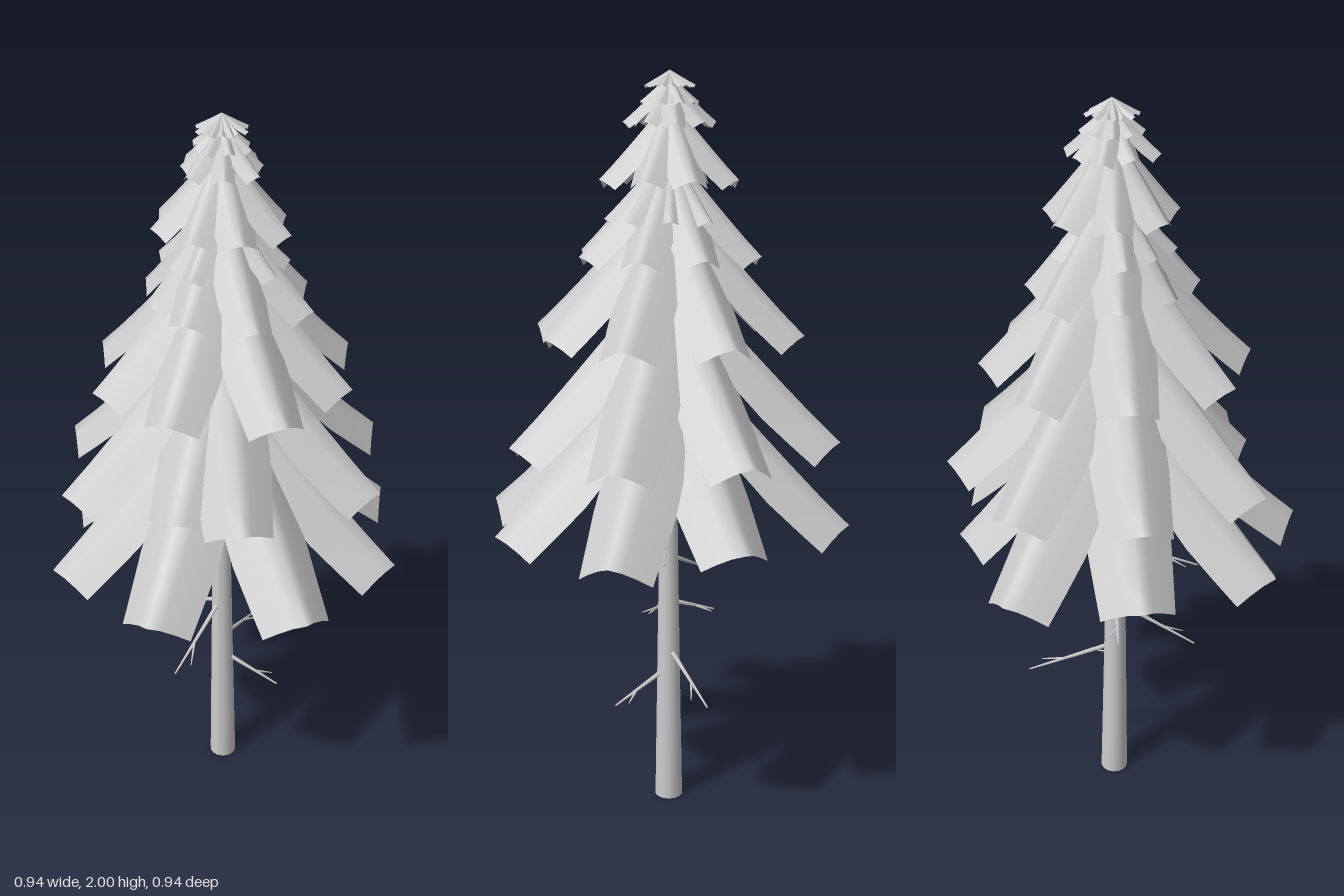
import * as THREE from 'three';

const bark = new THREE.MeshStandardMaterial({ color: 0xcccccc, side: THREE.DoubleSide });
const needles = new THREE.MeshStandardMaterial({ color: 0xcccccc, side: THREE.DoubleSide });

// Evenly spaced bearings in degrees
const ring = (count, turn) => Array.from({ length: count }, (_, i) => i * 360 / count + turn);

// Tiers from the ground up. Bearings run round the tree from +x towards +z; lengths repeat in turn.
const TIERS = [
  { tipY: 0.845, rise: 0.5, half: 0.11, bearings: [0, 42, 89, 131, 178, 221, 270, 314], lengths: [0.5, 0.505, 0.505, 0.5, 0.445, 0.49, 0.42, 0.5] },
  { tipY: 1.07, rise: 0.46, half: 0.1, bearings: [2, 60, 87, 131, 178, 222, 270, 314], lengths: [0.45, 0.4, 0.365, 0.46, 0.445, 0.46, 0.44, 0.46] },
  { tipY: 1.345, rise: 0.38, half: 0.085, bearings: [0, 43, 90, 131, 180, 223, 270, 316], lengths: [0.355, 0.37, 0.36, 0.36, 0.35, 0.36, 0.345, 0.36] },
  { tipY: 1.545, rise: 0.27, half: 0.062, bearings: ring(8, 3), lengths: [0.25, 0.25, 0.22, 0.2, 0.22, 0.25, 0.22, 0.23] },
  { tipY: 1.635, rise: 0.18, half: 0.034, bearings: ring(9, 17), lengths: [0.17, 0.13, 0.16, 0.14] },
  { tipY: 1.735, rise: 0.2, half: 0.052, bearings: ring(8, 6), lengths: [0.19, 0.17, 0.165, 0.18, 0.18] },
  { tipY: 1.875, rise: 0.11, half: 0.03, bearings: ring(8, 20), lengths: [0.12, 0.11, 0.12, 0.1] },
  { tipY: 1.925, rise: 0.065, half: 0.018, bearings: ring(8, 6), lengths: [0.08, 0.07] },
  { tipY: 1.965, rise: 0.037, half: 0.01, bearings: ring(16, 0), lengths: [0.068, 0.055] },
];

// Drooping frond along +x: folded across, widest past the middle, pointed at the tip
function frondGeometry(length, half, rise) {
  const cols = 6, rows = 6;
  const geo = new THREE.PlaneGeometry(1, 1, rows, cols);
  const p = geo.attributes.position;
  for (let i = 0; i < p.count; i++) {
    const t = p.getX(i) + 0.5;
    const u = p.getY(i) * 2;
    const a = Math.abs(u);
    const s = t * (length - half * 0.52 * a) / length;
    const spread = 0.3 + 0.7 * Math.sin(Math.min(1, s / 0.55) * Math.PI / 2);
    const width = half * (spread - 0.18 * Math.max(0, s - 0.55) / 0.45);
    const y = rise * Math.pow(1 - s, 1.05) - width * 1.1 * Math.pow(a, 1.15);
    p.setXYZ(i, s * length, y, -u * width);
  }
  geo.computeVertexNormals();
  return geo;
}

// Ring of fronds, one per bearing
function makeTier({ tipY, rise, half, bearings, lengths }, index) {
  const tier = new THREE.Group();
  tier.name = `branchTier${index + 1}`;
  bearings.forEach((bearing, i) => {
    const frond = new THREE.Mesh(frondGeometry(lengths[i % lengths.length], half, rise), needles);
    frond.name = 'frond';
    frond.rotation.y = -THREE.MathUtils.degToRad(bearing);
    frond.position.y = tipY;
    tier.add(frond);
  });
  return tier;
}

// Thin tapering stick between two points
function stick(from, to, radius) {
  const dir = to.clone().sub(from);
  const mesh = new THREE.Mesh(new THREE.CylinderGeometry(radius * 0.35, radius, dir.length(), 5), bark);
  mesh.position.copy(from).addScaledVector(dir, 0.5);
  mesh.quaternion.setFromUnitVectors(new THREE.Vector3(0, 1, 0), dir.normalize());
  mesh.name = 'twigStem';
  return mesh;
}

// Dead twig with one small side shoot
function makeTwig(a, b, index) {
  const twig = new THREE.Group();
  twig.name = 'deadTwig';
  const from = new THREE.Vector3(...a), to = new THREE.Vector3(...b);
  twig.add(stick(from, to, 0.007));
  const dir = to.clone().sub(from);
  const side = new THREE.Vector3(-dir.z, 0, dir.x).normalize();
  const start = from.clone().addScaledVector(dir, 0.55);
  const end = start.clone().addScaledVector(dir, 0.28).addScaledVector(side, index % 2 ? 0.03 : -0.03);
  twig.add(stick(start, end, 0.004));
  return twig;
}

export function createModel() {
  const tree = new THREE.Group();
  tree.name = 'coniferTree';

  // Trunk, an open tube slightly bowed along z
  const trunkGeo = new THREE.CylinderGeometry(0.006, 0.039, 1.96, 14, 12, true);
  trunkGeo.translate(0, 0.98, 0);
  const p = trunkGeo.attributes.position;
  for (let i = 0; i < p.count; i++) {
    p.setZ(i, p.getZ(i) + 0.006 * Math.sin(p.getY(i) / 1.96 * Math.PI));
  }
  trunkGeo.computeVertexNormals();
  const trunk = new THREE.Mesh(trunkGeo, bark);
  trunk.name = 'trunk';
  trunk.position.set(-0.031, 0, -0.036);
  tree.add(trunk);

  // Crown
  const crown = new THREE.Group();
  crown.name = 'crown';
  crown.position.set(-0.029, 0, -0.034);
  TIERS.forEach((tier, i) => crown.add(makeTier(tier, i)));
  tree.add(crown);

  // Bare twigs on the lower trunk
  [
    [[-0.01, 0.38, -0.035], [0.14, 0.31, -0.045]],
    [[-0.03, 0.44, -0.06], [-0.02, 0.37, -0.28]],
    [[-0.035, 0.58, -0.01], [-0.08, 0.46, 0.19]],
    [[-0.05, 0.58, -0.03], [-0.17, 0.54, -0.04]],
    [[-0.05, 0.71, -0.02], [-0.18, 0.64, 0.04]],
    [[-0.03, 0.78, -0.01], [-0.04, 0.7, 0.2]],
    [[-0.01, 0.78, -0.03], [0.06, 0.71, -0.02]],
    [[-0.02, 0.88, -0.05], [0.1, 0.78, -0.26]],
  ].forEach(([a, b], i) => tree.add(makeTwig(a, b, i)));

  return tree;
}
